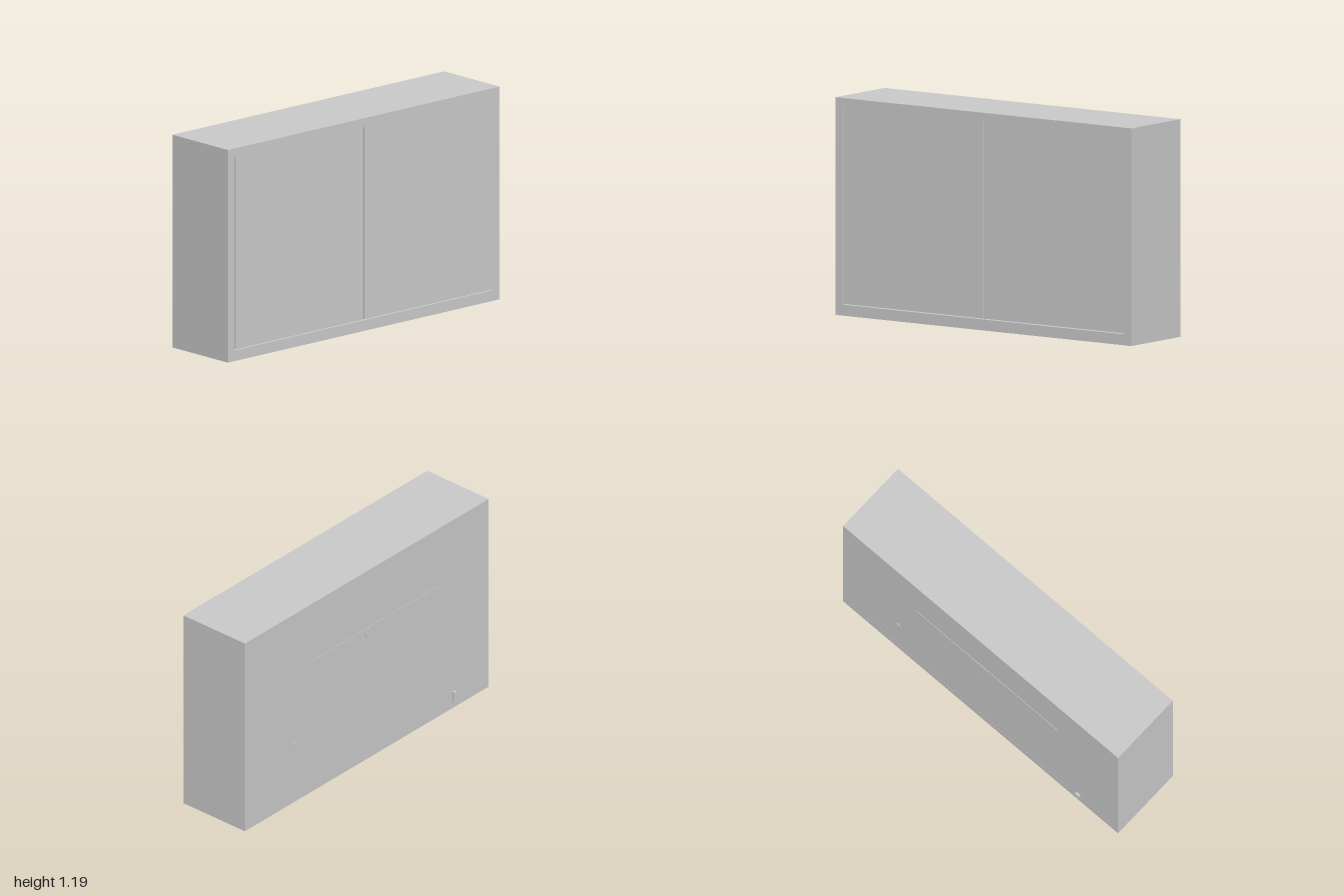
import * as THREE from 'three';

const FRONT = 0.23, BACK = -0.214, TOP = 1.19;
const INNER = 0.95, FLOOR = 0.06, CEIL = 1.14;

export function createModel() {
  const group = new THREE.Group();
  const grey = new THREE.MeshStandardMaterial({ color: 0xcccccc });
  const red = new THREE.MeshStandardMaterial({ color: 0x9c2a18 });

  // Box given by its extents along each axis
  function box(name, x0, x1, y0, y1, z0, z1, material = grey) {
    const mesh = new THREE.Mesh(new THREE.BoxGeometry(x1 - x0, y1 - y0, z1 - z0), material);
    mesh.position.set((x0 + x1) / 2, (y0 + y1) / 2, (z0 + z1) / 2);
    mesh.name = name;
    group.add(mesh);
    return mesh;
  }

  // Carcass: top slab, plinth and two side panels
  box('topSlab', -1, 1, CEIL, TOP, BACK, FRONT);
  box('plinth', -1, 1, 0, FLOOR, BACK, FRONT);
  box('rightSide', -1, -INNER, FLOOR, CEIL, BACK, FRONT);
  box('leftSide', INNER, 1, FLOOR, CEIL, BACK, FRONT);
  box('backPanel', -INNER, INNER, FLOOR, CEIL, BACK + 0.0005, BACK + 0.02);

  // Four door leaves, with narrow gaps at the middle, bottom and one side
  const leaves = [[-0.944, -0.478], [-0.476, -0.005], [0.005, 0.4995], [0.5, INNER]];
  leaves.forEach(([x0, x1], i) =>
    box('doorLeaf' + (i + 1), x0, x1, FLOOR + 0.005, CEIL, FRONT - 0.03, FRONT - 0.0005));

  // Interior seen through the middle gap
  box('shelf', -INNER, INNER, 0.805, 0.835, BACK + 0.02, 0.12);
  box('divider', -0.02, 0.02, FLOOR, 0.805, BACK + 0.02, 0.1, red);

  // Fine ridges on the back
  box('shelfRidge', -0.57, 0.47, 0.823, 0.828, BACK - 0.002, BACK + 0.002);
  box('dividerRidge', -0.003, 0.003, 0.44, 0.67, BACK - 0.002, BACK + 0.002);
  box('smallStud', 0.58, 0.61, 0.366, 0.374, BACK - 0.003, BACK + 0.002);

  // Small pointed gusset under the shelf ridge
  const gusset = new THREE.Shape();
  gusset.moveTo(-0.065, 0.826);
  gusset.quadraticCurveTo(-0.015, 0.82, 0, 0.77);
  gusset.quadraticCurveTo(0.015, 0.82, 0.065, 0.826);
  gusset.closePath();
  const gussetMesh = new THREE.Mesh(
    new THREE.ExtrudeGeometry(gusset, { depth: 0.004, bevelEnabled: false, curveSegments: 6 }), grey);
  gussetMesh.position.z = BACK - 0.003;
  gussetMesh.name = 'backGusset';
  group.add(gussetMesh);

  // Small latch low on the back
  box('latchPost', -0.715, -0.703, 0.04, 0.092, BACK - 0.01, BACK + 0.005);
  box('latchCap', -0.725, -0.7, 0.092, 0.104, BACK - 0.014, BACK + 0.005);

  return group;
}
